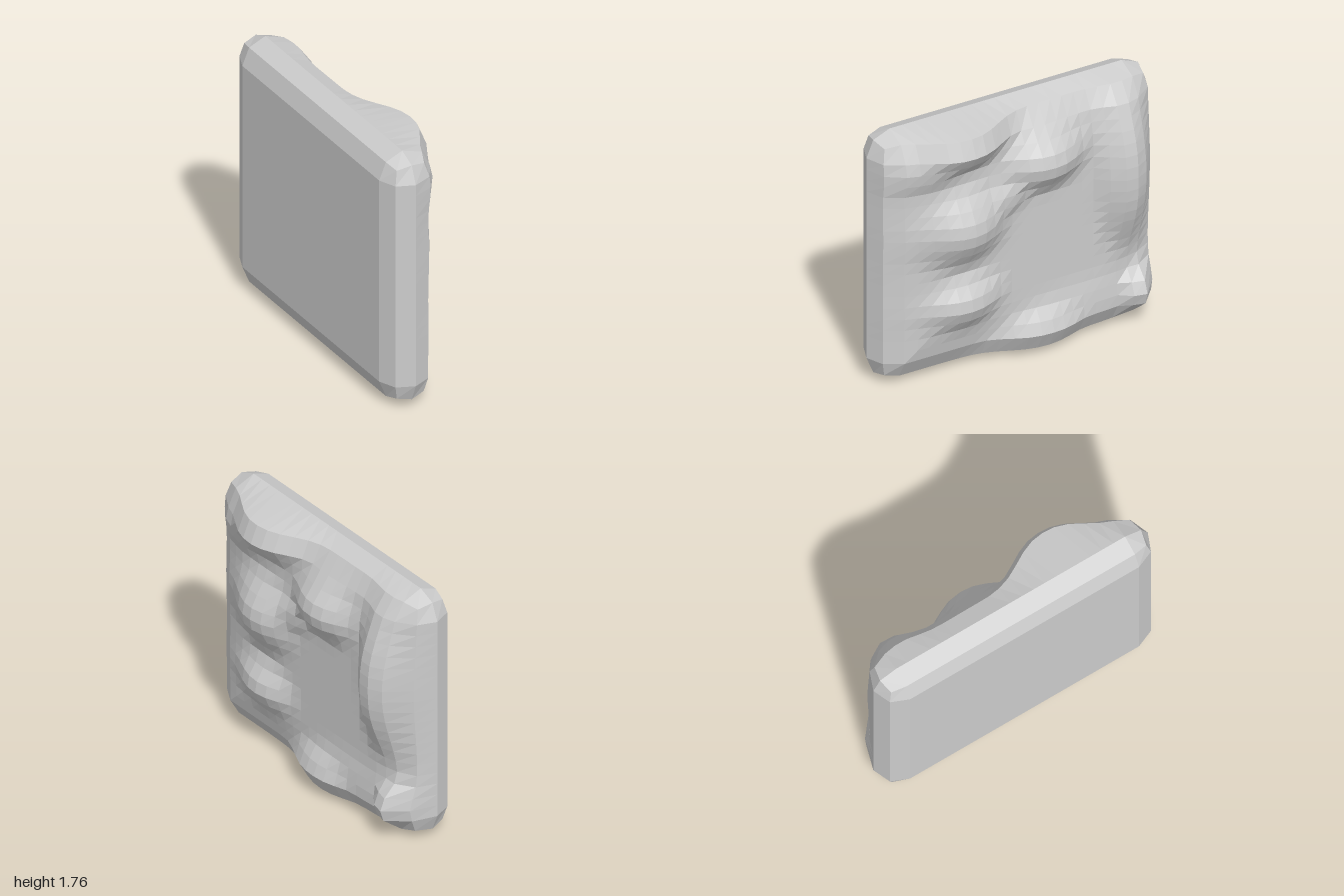
import * as THREE from 'three';

const R = 0.165;                 // edge rounding, also half the slab thickness
const HY = 0.88, HZ = 0.995;     // half height and half width
const NY = 20, NZ = 22;

// raised lumps on the +x face: z, y, radius z, radius y, height, steepness
const LUMPS = [
  [0.43, 1.65, 0.31, 0.2, 0.195, 1.3],   // brow
  [0.62, 1.5, 0.26, 0.14, 0.1, 1.1],     // temple
  [0.43, 1.04, 0.3, 0.26, 0.195, 1.1],   // nose
  [0.14, 1.17, 0.2, 0.15, 0.11, 1.2],    // cheek ridge
  [0.43, 0.5, 0.29, 0.18, 0.155, 1.1],   // chin
  [-0.15, 1.35, 0.29, 0.2, 0.18, 1.2],   // eye
  [-0.71, 1.1, 0.19, 0.5, 0.19, 1.35],   // long ridge at the rear
  [-0.15, 0.13, 0.32, 0.2, 0.155, 1.3],  // lower lump
  [-0.4, 0.2, 0.55, 0.26, 0.085, 1.3],   // low shelf
  [-0.81, 0.24, 0.14, 0.15, 0.155, 1.3], // corner knob
];

function relief(z, y) {
  const edge = Math.min(HZ - Math.abs(z), HY - Math.abs(y - HY));
  const base = 0.055 * THREE.MathUtils.smoothstep(edge, 0.02, 0.38);
  // soft maximum, so that lumps blend into the face and each other
  let sum = base ** 5;
  for (const [cz, cy, rz, ry, a, s] of LUMPS) {
    const d = ((z - cz) / rz) ** 2 + ((y - cy) / ry) ** 2;
    sum += (a * Math.exp(-(d ** s))) ** 5;
  }
  return sum ** (1 / 5);
}

// grid line position: one rounding band at each end, even spacing between
function line(t, n, half) {
  const k = Math.round((t + 0.5) * n);
  if (k === 0) return -half;
  if (k === n) return half;
  return THREE.MathUtils.lerp(R - half, half - R, (k - 1) / (n - 2));
}

export function createModel() {
  const group = new THREE.Group();
  const geo = new THREE.BoxGeometry(1, 1, 1, 2, NY, NZ);
  const pos = geo.attributes.position;
  const p = new THREE.Vector3(), q = new THREE.Vector3();
  for (let i = 0; i < pos.count; i++) {
    p.set(pos.getX(i) * 2 * R, line(pos.getY(i), NY, HY), line(pos.getZ(i), NZ, HZ));
    // round the box edges, then push the front side out by the relief
    q.set(0, THREE.MathUtils.clamp(p.y, R - HY, HY - R), THREE.MathUtils.clamp(p.z, R - HZ, HZ - R));
    p.sub(q).setLength(R).add(q);
    p.y += HY;
    if (p.x > 0.01) p.x += relief(p.z, p.y);
    pos.setXYZ(i, p.x - 0.1, p.y, p.z);
  }
  geo.computeVertexNormals();
  const slab = new THREE.Mesh(geo, new THREE.MeshStandardMaterial({ color: 0xcccccc, flatShading: true }));
  slab.name = 'reliefSlab';
  group.add(slab);
  return group;
}
